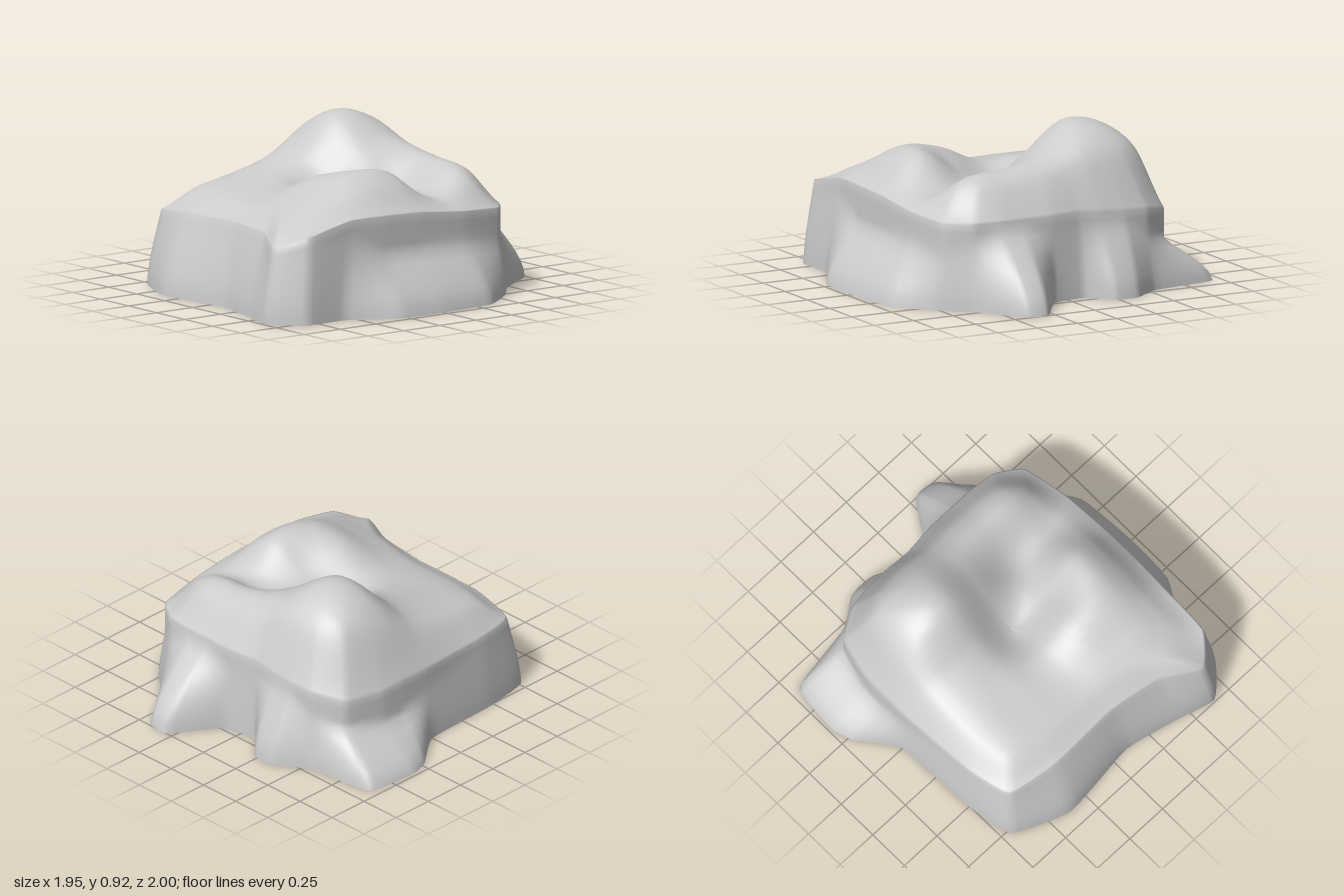
import * as THREE from 'three';

// Around the rock, counter-clockwise from the front corner:
// ground x, z, shoulder x, z, shoulder height, height where the foot flare ends
const OUTLINE = [
  [0.65, 0.99, 0.63, 0.93, 0.41, 0.41], [0.81, 0.83, 0.77, 0.78, 0.48, 0.48],
  [0.81, 0.57, 0.77, 0.5, 0.54, 0.45], [0.96, 0.3, 0.78, 0.25, 0.54, 0.32],
  [0.97, 0, 0.78, 0, 0.53, 0.32], [0.94, -0.35, 0.77, -0.3, 0.5, 0.32],
  [0.77, -0.58, 0.72, -0.58, 0.48, 0.3], [0.6, -0.73, 0.58, -0.68, 0.48, 0.38],
  [0.42, -0.99, 0.42, -0.7, 0.48, 0.42], [0.29, -1, 0.28, -0.7, 0.48, 0.42],
  [0.1, -0.73, 0.1, -0.7, 0.48, 0.4], [-0.1, -0.7, -0.08, -0.68, 0.48, 0.4],
  [-0.23, -0.83, -0.22, -0.69, 0.47, 0.4], [-0.37, -0.83, -0.37, -0.69, 0.46, 0.4],
  [-0.55, -0.71, -0.52, -0.67, 0.45, 0.3], [-0.94, -0.65, -0.68, -0.57, 0.42, 0.25],
  [-0.98, -0.35, -0.74, -0.35, 0.42, 0.22], [-0.94, -0.22, -0.75, -0.2, 0.43, 0.22],
  [-0.78, 0, -0.75, 0, 0.43, 0.3], [-0.76, 0.45, -0.72, 0.45, 0.43, 0.43],
  [-0.7, 0.77, -0.65, 0.71, 0.42, 0.42], [-0.37, 0.91, -0.35, 0.77, 0.45, 0.45],
  [0.1, 0.86, 0.08, 0.76, 0.46, 0.46], [0.42, 0.93, 0.4, 0.81, 0.45, 0.45],
];

// Heights of the top, back row first, left to right in x, every 0.25
const HEIGHTS = [
  [0.5, 0.6, 0.63, 0.62, 0.6, 0.58, 0.5],
  [0.56, 0.81, 0.86, 0.77, 0.72, 0.69, 0.54],
  [0.58, 0.83, 0.9, 0.73, 0.57, 0.57, 0.55],
  [0.56, 0.67, 0.68, 0.54, 0.6, 0.73, 0.6],
  [0.52, 0.6, 0.61, 0.6, 0.7, 0.73, 0.6],
  [0.48, 0.55, 0.56, 0.56, 0.6, 0.62, 0.56],
  [0.43, 0.47, 0.48, 0.48, 0.5, 0.52, 0.5],
];

// Smooth curve through a row of values
function spline(v, u) {
  const last = v.length - 1;
  const at = (i) => v[THREE.MathUtils.clamp(i, 0, last)];
  u = THREE.MathUtils.clamp(u, 0, last);
  const i = Math.min(Math.floor(u), last - 1), t = u - i;
  const a = at(i - 1), b = at(i), c = at(i + 1), d = at(i + 2);
  return b + 0.5 * t * (c - a + t * (2 * a - 5 * b + 4 * c - d + t * (3 * (b - c) + d - a)));
}

const topHeight = (x, z) =>
  spline(HEIGHTS.map((row) => spline(row, (x + 0.75) / 0.25)), (z + 0.7) / 0.25);

const closedCurve = (pick) => new THREE.CatmullRomCurve3(
  OUTLINE.map((p) => new THREE.Vector3(...pick(p))), true, 'catmullrom', 0.2);

function rockGeometry(segments = 120, wallRings = 10, topRings = 30) {
  const ground = closedCurve((p) => [p[0], 0, p[1]]);
  const shoulder = closedCurve((p) => [p[2], p[4], p[3]]);
  const flare = closedCurve((p) => [p[0], p[5], p[1]]);
  const centre = new THREE.Vector3(0, 0, 0.05);
  const positions = [], indices = [];
  const rings = wallRings + topRings;

  for (let r = 0; r <= rings; r++) {
    for (let s = 0; s < segments; s++) {
      const t = s / segments;
      const b = ground.getPoint(t), e = shoulder.getPoint(t);
      const p = new THREE.Vector3();
      if (r <= wallRings) {
        // Wall: the flared foot draws in to the body, then rises to the shoulder
        const y = e.y * r / wallRings;
        const k = Math.min(1, y / flare.getPoint(t).y);
        p.lerpVectors(b, e, Math.pow(k, 1.8) * (1.6 - 0.6 * k)).setY(y);
      } else {
        // Top: rings close in on the centre, rounding over into the height field
        const k = Math.pow((r - wallRings) / topRings, 1.3);
        p.lerpVectors(e, centre, k);
        const round = 1 - Math.pow(1 - Math.min(1, k / 0.2), 2);
        p.y = THREE.MathUtils.lerp(e.y, topHeight(p.x, p.z), round);
      }
      positions.push(p.x, p.y, p.z);
    }
  }
  for (let r = 0; r < rings; r++) {
    for (let s = 0; s < segments; s++) {
      const n = (s + 1) % segments;
      const a = r * segments + s, b = r * segments + n;
      const c = a + segments, d = b + segments;
      indices.push(a, b, c);
      if (r < rings - 1) indices.push(b, d, c);
    }
  }
  const geometry = new THREE.BufferGeometry();
  geometry.setAttribute('position', new THREE.Float32BufferAttribute(positions, 3));
  geometry.setIndex(indices);
  geometry.computeVertexNormals();
  return geometry;
}

export function createModel() {
  const group = new THREE.Group();
  group.name = 'boulder';
  // Hollow shell, open underneath
  const material = new THREE.MeshStandardMaterial({ color: 0xcccccc, side: THREE.DoubleSide });
  const rock = new THREE.Mesh(rockGeometry(), material);
  rock.name = 'rockShell';
  group.add(rock);
  return group;
}
